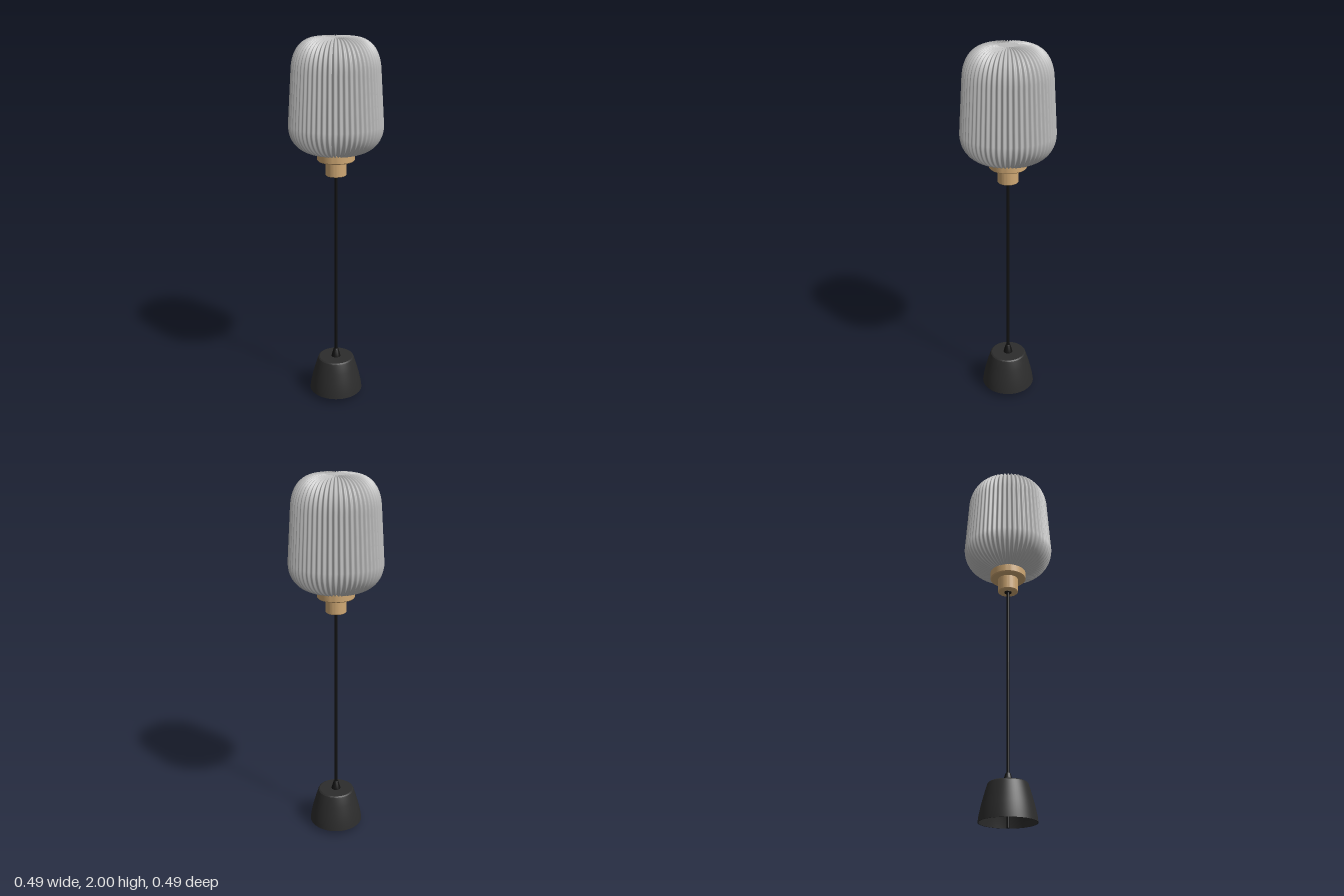
import * as THREE from 'three';
import { toCreasedNormals } from 'three/addons/utils/BufferGeometryUtils.js';

const RIBS = 54;

const mat = (name, color) => {
  const m = new THREE.MeshStandardMaterial({ color });
  m.name = name;
  return m;
};

// Revolved part with sharp edges; profile runs up the outside
function turned(name, profile, material, segments = 64) {
  const pts = profile.map(([r, y]) => new THREE.Vector2(r, y));
  const mesh = new THREE.Mesh(toCreasedNormals(new THREE.LatheGeometry(pts, segments), 0.5), material);
  mesh.name = name;
  return mesh;
}

// Ribbed glass: a revolved profile pushed in and out along its normal
function ribbedShade(material) {
  const wall = new THREE.CurvePath();
  const v = (x, y) => new THREE.Vector2(x, y);
  const lower = new THREE.CubicBezierCurve(v(0.09, 1.413), v(0.19, 1.42), v(0.243, 1.48), v(0.241, 1.56));
  const upper = new THREE.CubicBezierCurve(v(0.223, 1.83), v(0.22, 1.94), v(0.165, 1.994), v(0.09, 1.996));
  const profile = [
    v(0, 1.413), v(0.05, 1.413), ...lower.getPoints(12),
    v(0.235, 1.65), v(0.229, 1.74), ...upper.getPoints(14),
    v(0.057, 1.998), v(0.05, 1.998), v(0, 1.998),
  ];
  const geo = new THREE.LatheGeometry(profile, RIBS * 8);
  const p = geo.attributes.position;
  const n = geo.attributes.normal;
  for (let i = 0; i < p.count; i++) {
    const x = p.getX(i), z = p.getZ(i), r = Math.hypot(x, z);
    const depth = r < 0.052 ? 0 : 0.0055 * Math.min(1, r / 0.2);
    const d = depth * Math.cos(RIBS * Math.atan2(z, x));
    p.setXYZ(i, x + n.getX(i) * d, Math.min(2, p.getY(i) + n.getY(i) * d), z + n.getZ(i) * d);
  }
  geo.computeVertexNormals();
  const mesh = new THREE.Mesh(geo, material);
  mesh.name = 'ribbedShade';
  return mesh;
}

export function createModel() {
  const glass = mat('smoked glass', 0xbdbdbd);
  const wood = mat('light wood', 0xcfa874);
  const shell = mat('dark grey shell', 0x2c2c2c);
  const black = mat('black cord', 0x121212);

  const group = new THREE.Group();
  group.name = 'lamp';
  group.add(
    ribbedShade(glass),
    // Stepped wooden lamp holder
    turned('holder', [
      [0, 1.29], [0.051, 1.29], [0.055, 1.294], [0.055, 1.37], [0.093, 1.37],
      [0.098, 1.375], [0.098, 1.412], [0.094, 1.416], [0, 1.416],
    ], wood),
    turned('holderBush', [[0, 1.287], [0.02, 1.287], [0.02, 1.295], [0, 1.295]], black, 32),
    turned('cord', [[0, 0], [0.008, 0], [0.008, 1.3], [0, 1.3]], black, 16),
    // Tapered grip where the cord meets the cup
    turned('cordGrip', [[0, 0.215], [0.027, 0.215], [0.025, 0.225], [0.014, 0.265], [0.011, 0.27], [0, 0.27]], black, 32),
    // Hollow cup, open underneath
    turned('cup', [
      [0, 0.214], [0.092, 0.214], [0.11, 0.165], [0.127, 0.11], [0.138, 0.06], [0.143, 0.025],
      [0.148, 0.025], [0.143, 0.06], [0.132, 0.11], [0.117, 0.165], [0.103, 0.21],
      [0.1, 0.217], [0.093, 0.222], [0, 0.222],
    ], shell),
  );
  return group;
}
